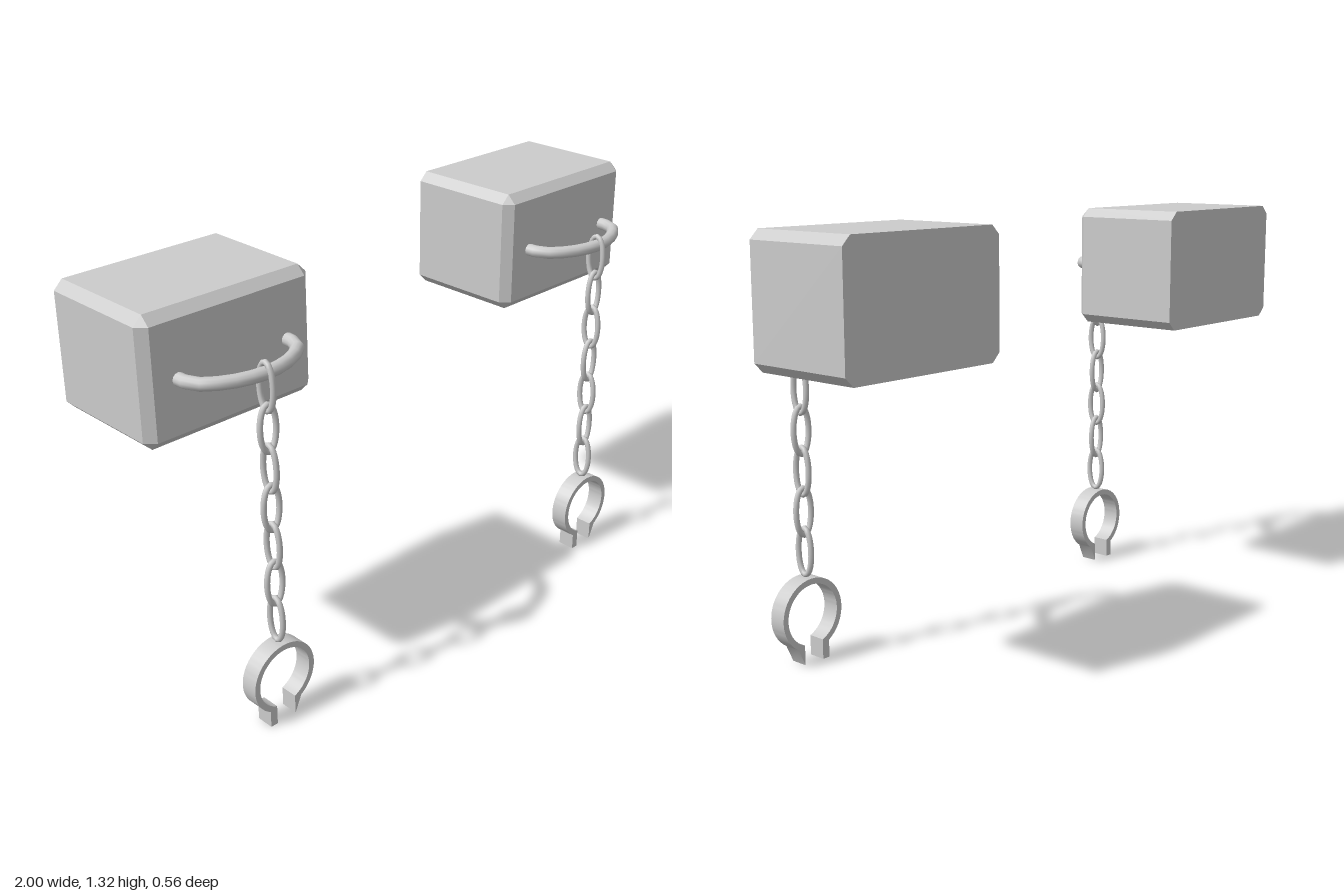
import * as THREE from 'three';
import { toCreasedNormals } from 'three/addons/utils/BufferGeometryUtils.js';
import { ConvexGeometry } from 'three/addons/geometries/ConvexGeometry.js';

const material = new THREE.MeshStandardMaterial({ color: 0xcccccc });
const doubleSided = new THREE.MeshStandardMaterial({ color: 0xcccccc, side: THREE.DoubleSide });
const CHAIN_Z = 0.241;

function part(name, geometry, mat = material) {
  const mesh = new THREE.Mesh(geometry, mat);
  mesh.name = name;
  return mesh;
}

// Stone block: chamfered along its length and around the front, flat at the back
function blockGeometry() {
  const w = 0.2915, h = 0.1935, c = 0.028, back = -0.278, front = 0.111;
  const points = [];
  for (const sx of [-1, 1]) for (const sy of [-1, 1]) {
    for (const z of [back, front - c]) {
      points.push(new THREE.Vector3(sx * w, sy * (h - c), z));
      points.push(new THREE.Vector3(sx * (w - c), sy * h, z));
    }
    points.push(new THREE.Vector3(sx * (w - c), sy * (h - c), front));
  }
  return new ConvexGeometry(points).translate(0, 1.129, 0);
}

// Bowed bar that comes out of the block's front face
function handleGeometry() {
  const half = [[0.189, 0.09], [0.178, 0.165], [0.1, 0.222]];
  const path = [
    ...half.map(([x, z]) => new THREE.Vector3(-x, 1.126, z)),
    new THREE.Vector3(0, 1.126, 0.243),
    ...half.reverse().map(([x, z]) => new THREE.Vector3(x, 1.126, z)),
  ];
  return new THREE.TubeGeometry(new THREE.CatmullRomCurve3(path), 12, 0.0195, 12);
}

// Oval chain link standing in the xy plane
function linkGeometry() {
  const points = [];
  for (let i = 0; i < 16; i++) {
    const a = (i / 16) * Math.PI * 2;
    points.push(new THREE.Vector3(0.0285 * Math.cos(a), 0.0725 * Math.sin(a), 0));
  }
  const curve = new THREE.CatmullRomCurve3(points, true);
  return new THREE.TubeGeometry(curve, 28, 0.0088, 8, true);
}

// Open ring with two short straight feet
function cuffGeometry() {
  const cy = 0.151, outer = 0.1135, inner = 0.095, footOut = 0.06, footIn = 0.035;
  const a = Math.acos(footOut / outer), b = Math.acos(footIn / inner);
  const shape = new THREE.Shape();
  shape.moveTo(footOut, 0);
  shape.absarc(0, cy, outer, -a, Math.PI + a, false);
  shape.lineTo(-footOut, 0);
  shape.lineTo(-footIn, 0);
  shape.absarc(0, cy, inner, Math.PI + b, -b, true);
  shape.lineTo(footIn, 0);
  shape.closePath();
  const geometry = new THREE.ExtrudeGeometry(shape, { depth: 0.057, bevelEnabled: false, curveSegments: 32 });
  return toCreasedNormals(geometry.translate(0, 0, CHAIN_Z - 0.0285), 0.6);
}

export function createModel() {
  const model = new THREE.Group();
  model.name = 'wallShackles';
  const block = blockGeometry(), handle = handleGeometry();
  const link = linkGeometry(), cuff = cuffGeometry();

  for (const [side, x] of [['right', -0.7085], ['left', 0.7085]]) {
    const shackle = new THREE.Group();
    shackle.name = side + 'Shackle';
    shackle.position.x = x;
    shackle.add(part('block', block));

    // Hanging parts sit slightly off the block's middle
    const hanging = new THREE.Group();
    hanging.name = 'hangingParts';
    hanging.position.x = 0.005;
    hanging.add(part('handle', handle, doubleSided), part('cuff', cuff));

    // Seven links, each turned a quarter from the last
    const chain = new THREE.Group();
    chain.name = 'chain';
    for (let i = 0; i < 7; i++) {
      const mesh = part('chainLink', link);
      mesh.position.set(0, 1.084 - i * 0.1235, CHAIN_Z);
      mesh.rotation.y = i % 2 === 0 ? Math.PI / 2 : 0;
      chain.add(mesh);
    }
    hanging.add(chain);
    shackle.add(hanging);
    model.add(shackle);
  }
  return model;
}
